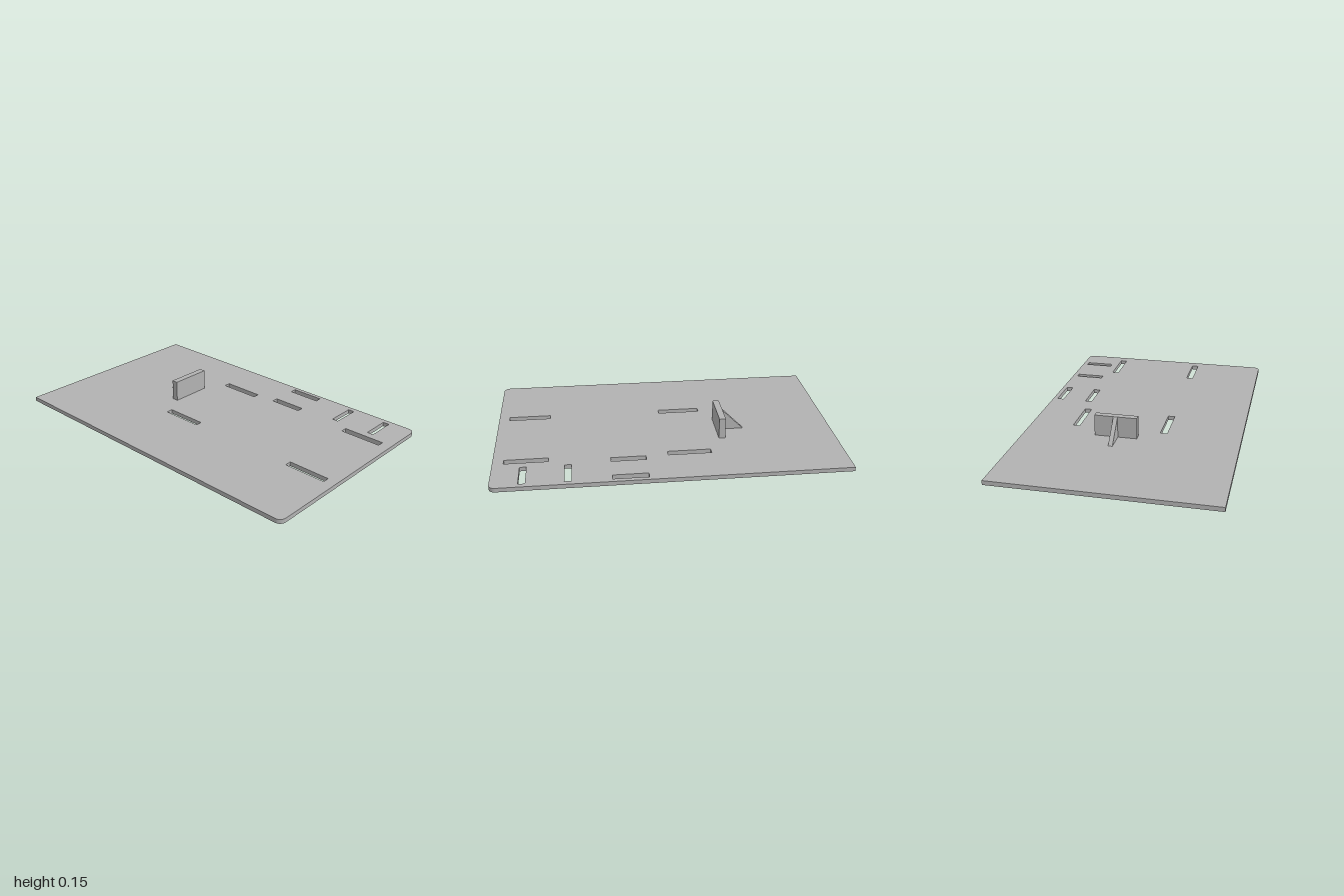
import * as THREE from 'three';

const PLATE_TOP = 0.025;
const WALL_TOP = 0.15;

// Slots cut through the plate: centre x, centre z, length along x, length along z
const SLOTS = [
  [-0.112, -0.353, 0.25, 0.04],
  [0.813, -0.353, 0.25, 0.04],
  [-0.112, 0.173, 0.25, 0.04],
  [0.813, 0.173, 0.25, 0.04],
  [0.24, -0.576, 0.2, 0.04],
  [0.24, -0.389, 0.2, 0.04],
  [0.58, -0.506, 0.038, 0.172],
  [0.827, -0.506, 0.038, 0.172],
];

function slotPath([x, z, w, d]) {
  return new THREE.Path([
    new THREE.Vector2(x - w / 2, -z - d / 2),
    new THREE.Vector2(x - w / 2, -z + d / 2),
    new THREE.Vector2(x + w / 2, -z + d / 2),
    new THREE.Vector2(x + w / 2, -z - d / 2),
  ]);
}

// Flat board, square at the -x end and rounded at the +x corners
function plateGeometry() {
  const hx = 1, hz = 0.6225, r = 0.038;
  const shape = new THREE.Shape();
  shape.moveTo(-hx, -hz);
  shape.lineTo(hx - r, -hz);
  shape.absarc(hx - r, -hz + r, r, -Math.PI / 2, 0, false);
  shape.lineTo(hx, hz - r);
  shape.absarc(hx - r, hz - r, r, 0, Math.PI / 2, false);
  shape.lineTo(-hx, hz);
  shape.closePath();
  shape.holes = SLOTS.map(slotPath);
  const geometry = new THREE.ExtrudeGeometry(shape, { depth: PLATE_TOP, bevelEnabled: false, curveSegments: 10 });
  return geometry.rotateX(-Math.PI / 2);
}

// Triangular brace behind the upright wall
function gussetGeometry() {
  const shape = new THREE.Shape([
    new THREE.Vector2(-0.47, PLATE_TOP),
    new THREE.Vector2(-0.345, PLATE_TOP),
    new THREE.Vector2(-0.345, WALL_TOP),
  ]);
  const thickness = 0.025;
  const geometry = new THREE.ExtrudeGeometry(shape, { depth: thickness, bevelEnabled: false });
  return geometry.translate(0, 0, -0.086 - thickness / 2);
}

export function createModel() {
  const group = new THREE.Group();
  group.name = 'slottedBasePlate';
  const grey = new THREE.MeshStandardMaterial({ color: 0xb2b2b2 });
  grey.name = 'grey';

  const add = (name, geometry) => {
    const mesh = new THREE.Mesh(geometry, grey);
    mesh.name = name;
    group.add(mesh);
    return mesh;
  };

  add('basePlate', plateGeometry());

  const wallHeight = WALL_TOP - PLATE_TOP;
  add('uprightWall', new THREE.BoxGeometry(0.038, wallHeight, 0.248))
    .position.set(-0.326, PLATE_TOP + wallHeight / 2, -0.086);

  add('gusset', gussetGeometry());
  return group;
}
